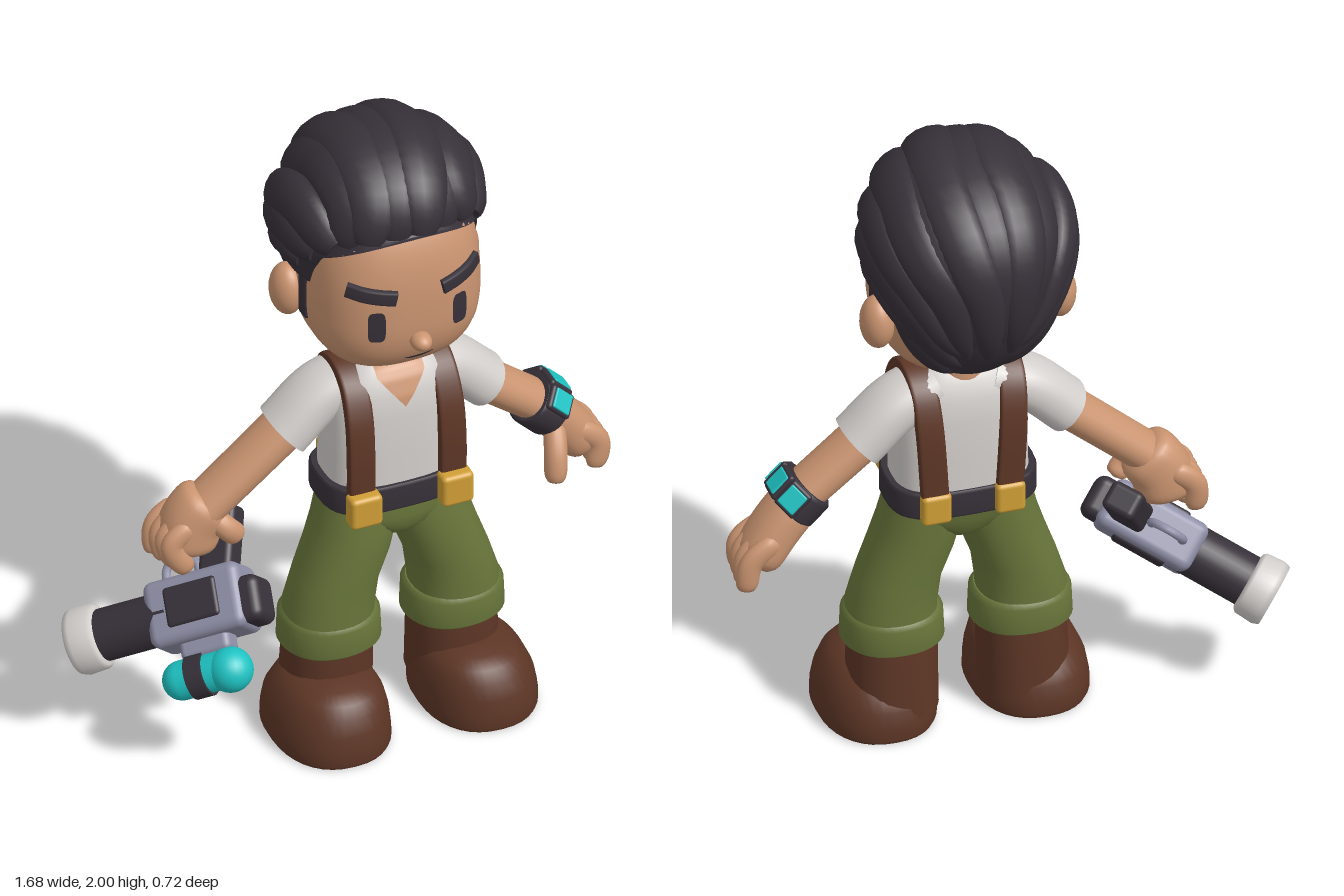
import * as THREE from 'three';
import { RoundedBoxGeometry } from 'three/addons/geometries/RoundedBoxGeometry.js';

const mat = (name, color) => Object.assign(new THREE.MeshStandardMaterial({ color }), { name });
const V = (x, y, z) => new THREE.Vector3(x, y, z);
const spow = (v, n) => Math.sign(v) * Math.pow(Math.abs(v), 2 / n);

export function createModel() {
  const skin = mat('skin', 0xcb9571), dark = mat('charcoal', 0x373139), white = mat('offWhite', 0xd3cfcc);
  const brown = mat('leatherBrown', 0x5d3626), green = mat('olive', 0x69763b), gold = mat('gold', 0xd09f36);
  const cyan = mat('cyan', 0x1fc3c3), grey = mat('blueGrey', 0x8e8ea6);
  const root = new THREE.Group();
  const body = new THREE.Group();
  body.name = 'figure';
  body.position.x = 0.127;
  root.add(body);

  const add = (parent, name, geo, material, x = 0, y = 0, z = 0) => {
    const m = new THREE.Mesh(geo, material);
    m.name = name;
    m.position.set(x, y, z);
    parent.add(m);
    return m;
  };

  // Closed skin over rings of points, with crisp end caps
  const skinRings = (rings) => {
    const n = rings[0].length, pos = [], idx = [];
    const push = (r) => r.forEach((p) => pos.push(p.x, p.y, p.z));
    rings.forEach(push);
    for (let i = 0; i < rings.length - 1; i++) for (let j = 0; j < n; j++) {
      const a = i * n + j, b = i * n + (j + 1) % n;
      idx.push(a, b, a + n, b, b + n, a + n);
    }
    [rings[0], rings[rings.length - 1]].forEach((r, end) => {
      const base = pos.length / 3;
      push(r);
      push([r.reduce((s, p) => s.add(p), V(0, 0, 0)).divideScalar(n)]);
      for (let j = 0; j < n; j++) {
        const k = (j + 1) % n;
        idx.push(base + n, base + (end ? j : k), base + (end ? k : j));
      }
    });
    const g = new THREE.BufferGeometry();
    g.setAttribute('position', new THREE.Float32BufferAttribute(pos, 3));
    g.setIndex(idx);
    g.computeVertexNormals();
    return g;
  };

  // Upright stack of superellipses: [y, x, z, radiusX, radiusZ]
  const loft = (rows, n = 2, count = 36) => skinRings(rows.map(([y, x, z, rx, rz]) =>
    Array.from({ length: count }, (_, j) => {
      const a = j / count * Math.PI * 2;
      return V(x + rx * spow(Math.sin(a), n), y, z + rz * spow(Math.cos(a), n));
    })));

  // Section of half width w and half height h swept along points; ref gives the height direction
  const sweep = (pts, w, h, prof, ref, n = 2, seg = 18, count = 16) => {
    const curve = new THREE.CatmullRomCurve3(pts.map((p) => V(...p)));
    return skinRings(Array.from({ length: seg + 1 }, (_, i) => {
      const t = i / seg, p = curve.getPoint(t), T = curve.getTangent(t), N = ref(p);
      N.addScaledVector(T, -N.dot(T)).normalize();
      const B = N.clone().cross(T), s = prof(t);
      return Array.from({ length: count }, (_, j) => {
        const a = j / count * Math.PI * 2;
        return p.clone().addScaledVector(B, w * s * spow(Math.cos(a), n)).addScaledVector(N, h * s * spow(Math.sin(a), n));
      });
    }));
  };
  const zRef = () => V(0, 0, 1);
  const blunt = (t) => Math.sqrt(Math.max(0, 1 - Math.pow(Math.abs(2 * t - 1), 6)));
  const straight = () => 1;

  // Head: superellipsoid with a flat jaw
  const E = 2.6, HY = 1.5, HZ = 0.05;
  const head = new THREE.SphereGeometry(1, 48, 36), hp = head.attributes.position;
  for (let i = 0; i < hp.count; i++) {
    const x = hp.getX(i), y = hp.getY(i), z = hp.getZ(i);
    const k = Math.pow(Math.abs(x) ** E + Math.abs(y) ** E + Math.abs(z) ** E, -1 / E);
    hp.setXYZ(i, x * k * 0.262, HY + y * k * (y > 0 ? 0.37 : 0.245), HZ + z * k * 0.245);
  }
  head.computeVertexNormals();
  add(body, 'head', head, skin);
  const faceZ = (x, y) => HZ + 0.245 * Math.pow(Math.max(0, 1 - Math.abs(x / 0.262) ** E
    - Math.abs((y - HY) / (y > HY ? 0.37 : 0.245)) ** E), 1 / E);
  const facePlate = (name, cx, cy, w, h, bend, n) => {
    const g = new THREE.CircleGeometry(1, 28), p = g.attributes.position;
    for (let i = 0; i < p.count; i++) {
      const u = spow(p.getX(i), n), x = cx + w * u, y = cy + h * spow(p.getY(i), n) + bend * u * u + bend * 0.5 * u;
      p.setXYZ(i, x, y, faceZ(x, y) + 0.006);
    }
    g.computeVertexNormals();
    add(body, name, g, dark);
  };
  facePlate('mouth', 0.005, 1.352, 0.046, 0.005, 0.008, 2);
  add(body, 'nose', new THREE.SphereGeometry(1, 20, 14), skin, 0, 1.425, 0.302).scale.set(0.032, 0.028, 0.04);
  add(body, 'neck', new THREE.CylinderGeometry(0.084, 0.09, 0.14, 28), skin, 0, 1.24, 0.04);
  for (const s of [-1, 1]) {
    facePlate('eye', s * 0.131, 1.495, 0.025, 0.053, 0, 4);
    const brow = [0.072, 0.12, 0.165, 0.203].map((x, i) => {
      const y = 1.59 + i * 0.01;
      return [s * x, y, faceZ(x, y)];
    });
    add(body, 'eyebrow', sweep(brow, 0.024, 0.014, straight, (p) => V(p.x * 0.6, 0, p.z - 0.05), 5), dark);
    add(body, 'ear', new THREE.SphereGeometry(1, 24, 18), skin, s * 0.275, 1.465, -0.042).scale.set(0.052, 0.085, 0.062);
    add(body, 'sideburn', new RoundedBoxGeometry(0.03, 0.2, 0.055, 3, 0.013), dark, s * 0.253, 1.52, 0.045);
  }

  // Hair: cap trimmed along the hairline, covered with swept-back locks
  const hair = new THREE.Group();
  hair.name = 'hair';
  body.add(hair);
  const HC = V(0, 1.68, -0.02);
  const onHair = (d, k = 1) => V(HC.x + d.x * 0.29 * k, HC.y + d.y * (d.y > 0 ? 0.275 : 0.425) * k, HC.z + d.z * 0.3 * k);
  const hairline = (x, z) => z > -0.1
    ? THREE.MathUtils.mapLinear(THREE.MathUtils.clamp(z, 0.09, 0.13), 0.09, 0.13, 1.56, 1.775 - 1.5 * x * x)
    : THREE.MathUtils.mapLinear(Math.max(z, -0.12), -0.1, -0.12, 1.56, 1.2);
  const cap = new THREE.SphereGeometry(1, 64, 48), cp = cap.attributes.position;
  for (let i = 0; i < cp.count; i++) {
    const p = onHair(V(cp.getX(i), cp.getY(i), cp.getZ(i)));
    cp.setXYZ(i, p.x, Math.max(p.y, hairline(p.x, p.z)), p.z);
  }
  cap.computeVertexNormals();
  add(hair, 'hairCap', cap, dark);
  const lockProf = (t) => Math.pow(Math.sin(Math.PI * Math.pow(0.03 + 0.95 * t, 0.72)), 0.5);
  const lock = (dirs, w, h, k, quiff = 0) => {
    const c = new THREE.CatmullRomCurve3(dirs.map((d) => V(...d).normalize()));
    const pts = c.getPoints(14).map((d, i) =>
      onHair(d.normalize(), k + quiff * Math.sin(Math.PI * Math.min(1, i / 6))).toArray());
    add(hair, 'hairLock', sweep(pts, w, h, lockProf, (p) => p.clone().sub(HC), 2, 30, 14), dark);
  };
  for (let i = 0; i < 6; i++) {
    const a = (i - 2.5) / 2.5, q = Math.abs(a);
    lock([[a * 0.7 - 0.05, 0.36 - 0.1 * q, 0.97 - 0.25 * q], [a * 0.72 + 0.04, 0.8, 0.72], [a * 0.8 + 0.16, 0.95, 0],
      [a * 0.75 + 0.1, 0.45, -0.8], [a * 0.5, -0.1, -1], [a * 0.3 - 0.06, -0.6, -0.75]],
    0.085, 0.048, i % 2 ? 0.985 : 0.94, i === 2 || i === 3 ? 0.09 : 0.06);
  }
  for (const s of [-1, 1]) {
    lock([[s * 0.78, 0.2, 0.66], [s, 0.5, 0.15], [s * 0.9, 0.1, -0.6], [s * 0.3, -0.6, -0.8]], 0.075, 0.05, 0.99);
    lock([[s * 0.9, 0.04, 0.45], [s, 0.14, -0.1], [s * 0.8, -0.25, -0.65], [s * 0.25, -0.75, -0.6]], 0.075, 0.05, 0.97);
    lock([[s, -0.14, 0.25], [s, -0.1, -0.15], [s * 0.75, -0.4, -0.55], [s * 0.25, -0.8, -0.5]], 0.06, 0.045, 0.95);
    lock([[s * 0.85, -0.25, -0.45], [s * 0.7, -0.5, -0.5], [s * 0.45, -0.78, -0.43], [s * 0.2, -0.92, -0.3]], 0.055, 0.035, 0.96);
  }

  // Shirt with V neckline
  const torso = [[0.78, 0.205, 0.14], [0.95, 0.2, 0.14], [1.08, 0.2, 0.138], [1.15, 0.188, 0.128],
    [1.2, 0.16, 0.108], [1.23, 0.12, 0.085], [1.245, 0.075, 0.06]];
  add(body, 'shirt', loft(torso.map(([y, rx, rz]) => [y, 0, 0.055, rx, rz]), 2.8), white);
  const torsoZ = (x, y) => {
    const i = Math.max(1, torso.findIndex((r) => r[0] >= y)), a = torso[i - 1], b = torso[i];
    const t = (y - a[0]) / (b[0] - a[0]), rx = a[1] + (b[1] - a[1]) * t, rz = a[2] + (b[2] - a[2]) * t;
    return 0.055 + rz * Math.pow(Math.max(0, 1 - Math.abs(x / rx) ** 2.8), 1 / 2.8);
  };
  const vee = new THREE.PlaneGeometry(1, 1, 12, 16), vp = vee.attributes.position;
  for (let i = 0; i < vp.count; i++) {
    const t = vp.getY(i) + 0.5, y = 1.115 + t * 0.128, x = vp.getX(i) * 0.2 * Math.min(t, 0.75);
    vp.setXYZ(i, x, y, torsoZ(x, y) + 0.006);
  }
  vee.computeVertexNormals();
  add(body, 'neckline', vee, skin);

  // Belt, braces and clasps
  add(body, 'belt', loft([[0.762, 0, 0.057, 0.22, 0.147], [0.77, 0, 0.057, 0.226, 0.152], [0.842, 0, 0.057, 0.226, 0.152],
    [0.85, 0, 0.057, 0.22, 0.147]], 3), dark);
  for (const s of [-1, 1]) {
    const path = [[0.144, 0.82, 0.198], [0.144, 0.98, 0.197], [0.142, 1.1, 0.178], [0.138, 1.19, 0.125], [0.136, 1.222, 0.045],
      [0.134, 1.19, -0.03], [0.128, 1.09, -0.075], [0.112, 0.82, -0.086]];
    add(body, 'suspender', sweep(path.map(([x, y, z]) => [s * x, y, z]), 0.041, 0.018, straight,
      (p) => V(0, p.y < 1 ? 0 : p.y - 1, p.z - 0.06), 6, 40), brown);
    add(body, 'frontClasp', new RoundedBoxGeometry(0.1, 0.105, 0.06, 3, 0.015), gold, s * 0.144, 0.807, 0.22);
    add(body, 'backClasp', new RoundedBoxGeometry(0.09, 0.1, 0.045, 3, 0.015), gold, s * 0.112, 0.807, -0.09);
  }

  // Trousers, cuffs and boots
  add(body, 'hips', loft([[0.635, 0, 0.072, 0.03, 0.07], [0.655, 0, 0.072, 0.07, 0.105], [0.69, 0, 0.07, 0.15, 0.128],
    [0.73, 0, 0.067, 0.218, 0.138], [0.78, 0, 0.06, 0.215, 0.142]], 2.4), green);
  for (const s of [-1, 1]) {
    add(body, 'trouserLeg', loft([[0.3, s * 0.2, 0.078, 0.135, 0.13], [0.4, s * 0.197, 0.078, 0.133, 0.13],
      [0.5, s * 0.175, 0.078, 0.124, 0.13], [0.6, s * 0.138, 0.076, 0.125, 0.132], [0.68, s * 0.115, 0.072, 0.122, 0.132],
      [0.77, s * 0.1, 0.065, 0.115, 0.127]], 2.2), green);
    add(body, 'cuff', loft([[0.275, s * 0.195, 0.077, 0.14, 0.128], [0.287, s * 0.195, 0.077, 0.153, 0.14],
      [0.37, s * 0.195, 0.077, 0.149, 0.14], [0.385, s * 0.195, 0.077, 0.135, 0.128]], 2.2), green);
    add(body, 'bootShaft', loft([[0.06, s * 0.2, 0.06, 0.135, 0.135], [0.2, s * 0.198, 0.068, 0.133, 0.135],
      [0.29, s * 0.195, 0.07, 0.13, 0.13]], 2.2), brown);
    add(body, 'bootFoot', loft([[0, s * 0.232, 0.14, 0.17, 0.222], [0.012, s * 0.232, 0.14, 0.176, 0.227],
      [0.05, s * 0.232, 0.14, 0.175, 0.226], [0.1, s * 0.23, 0.14, 0.168, 0.218], [0.15, s * 0.225, 0.145, 0.15, 0.198],
      [0.185, s * 0.222, 0.155, 0.122, 0.16], [0.203, s * 0.22, 0.165, 0.08, 0.105], [0.208, s * 0.22, 0.17, 0.03, 0.04]], 2.3), brown);

    // Sleeves and arms
    const wrist = s > 0 ? [0.52, 0.85, 0.01] : [-0.575, 0.79, 0.01];
    add(body, 'sleeve', sweep([[s * 0.08, 1.16, 0.037], [s * 0.2, 1.118, 0.025], [s * 0.318, 1.012, 0.022]], 0.079, 0.097,
      straight, zRef, 2.2, 14, 28), white);
    add(body, 'arm', sweep([[s * 0.2, 1.11, 0.02], [s * 0.33, 1.0, 0.018], wrist], 0.064, 0.082, (t) => 1 - 0.06 * t, zRef, 2, 14, 24), skin);
  }

  // Open left hand
  add(body, 'leftPalm', sweep([[0.48, 0.88, 0.01], [0.57, 0.78, 0], [0.65, 0.665, -0.01]], 0.07, 0.085, blunt, zRef, 2.3, 18, 24), skin);
  add(body, 'leftThumb', sweep([[0.53, 0.82, 0.05], [0.51, 0.74, 0.11], [0.5, 0.65, 0.13]], 0.034, 0.036, blunt, zRef), skin);
  for (let i = 0; i < 4; i++) {
    const z = -0.068 + i * 0.041;
    add(body, 'leftFinger', sweep([[0.58, 0.78, z], [0.665, 0.71, z], [0.682 - i * 0.008, 0.612, z]], 0.036, 0.027, blunt, zRef), skin);
  }

  // Right hand closed around the grip
  add(body, 'rightPalm', sweep([[-0.53, 0.83, 0.01], [-0.595, 0.75, 0], [-0.615, 0.65, 0]], 0.092, 0.085, blunt, zRef, 2.3, 18, 24), skin);
  add(body, 'rightThumb', sweep([[-0.55, 0.78, 0.05], [-0.51, 0.74, 0.07], [-0.475, 0.7, 0.06]], 0.036, 0.032, blunt, zRef), skin);
  for (let i = 0; i < 4; i++) {
    const z = -0.066 + i * 0.041;
    add(body, 'rightFinger', sweep([[-0.61, 0.78, z], [-0.68, 0.72, z], [-0.69 + i * 0.02, 0.62, z + 0.01]], 0.036, 0.027, blunt, zRef), skin);
  }

  // Wrist device
  const band = new THREE.Group();
  band.name = 'wristDevice';
  band.position.set(0.498, 0.864, 0.012);
  band.rotation.z = Math.PI / 4;
  body.add(band);
  add(band, 'wristBand', loft([[-0.046, 0, 0, 0.074, 0.09], [-0.036, 0, 0, 0.082, 0.097], [0.036, 0, 0, 0.082, 0.097],
    [0.046, 0, 0, 0.074, 0.09]]), dark);
  for (const a of [-0.85, 0, 0.85]) {
    const holder = new THREE.Group();
    holder.position.set(0.079 * Math.cos(a), 0, 0.092 * Math.sin(a));
    holder.rotation.y = -a;
    band.add(holder);
    add(holder, 'screenFrame', new RoundedBoxGeometry(0.022, 0.092, 0.078, 2, 0.01), dark);
    add(holder, 'screen', new RoundedBoxGeometry(0.009, 0.068, 0.062, 2, 0.004), cyan, 0.012);
  }

  // Blaster: local +x points to the muzzle, +y away from the grip
  const gun = new THREE.Group();
  gun.name = 'blaster';
  const fwd = V(-0.757, -0.42, -0.5).normalize(), up = V(-0.16, -0.62, 0.77);
  up.addScaledVector(fwd, -up.dot(fwd)).normalize();
  gun.quaternion.setFromRotationMatrix(new THREE.Matrix4().makeBasis(fwd, up, fwd.clone().cross(up)));
  gun.position.set(-0.467, 0.488, 0.08);
  root.add(gun);
  const box = (name, m, l, h, w, x, y, z = 0, r = 0.02) => add(gun, name, new RoundedBoxGeometry(l, h, w, 3, r), m, x, y, z);
  const rod = (name, m, r, l, x, y) => { add(gun, name, new THREE.CylinderGeometry(r, r, l, 28), m, x, y).rotation.z = -Math.PI / 2; };
  box('blasterBody', grey, 0.31, 0.2, 0.155, 0, 0, 0, 0.03);
  box('cellMount', grey, 0.16, 0.1, 0.08, 0, 0.1);
  box('rearBlock', dark, 0.1, 0.14, 0.13, -0.155, 0.02, 0, 0.03);
  for (const s of [-1, 1]) box('sidePanel', dark, 0.17, 0.12, 0.03, 0, -0.005, s * 0.072, 0.012);
  rod('barrel', dark, 0.078, 0.28, 0.23, 0);
  const ring = [[0.055, -0.06], [0.088, -0.052], [0.098, -0.042], [0.102, 0.015], [0.095, 0.035], [0.07, 0.035], [0.06, 0.025], [0.057, -0.03]];
  add(gun, 'muzzleRing', new THREE.LatheGeometry(ring.map((p) => new THREE.Vector2(...p)), 36), white, 0.376, 0).rotation.z = -Math.PI / 2;
  add(gun, 'energyBall', new THREE.SphereGeometry(0.068, 28, 20), cyan, -0.055, 0.202);
  add(gun, 'energyCell', new THREE.CapsuleGeometry(0.059, 0.13, 10, 28), cyan, 0.035, 0.195).rotation.z = -Math.PI / 2;
  rod('cellBand', dark, 0.067, 0.055, 0.04, 0.195);
  box('grip', dark, 0.105, 0.23, 0.09, -0.09, -0.17).rotation.z = -0.25;
  add(gun, 'triggerGuard', new THREE.TorusGeometry(0.053, 0.013, 10, 28), grey, 0.045, -0.115);
  return root;
}
